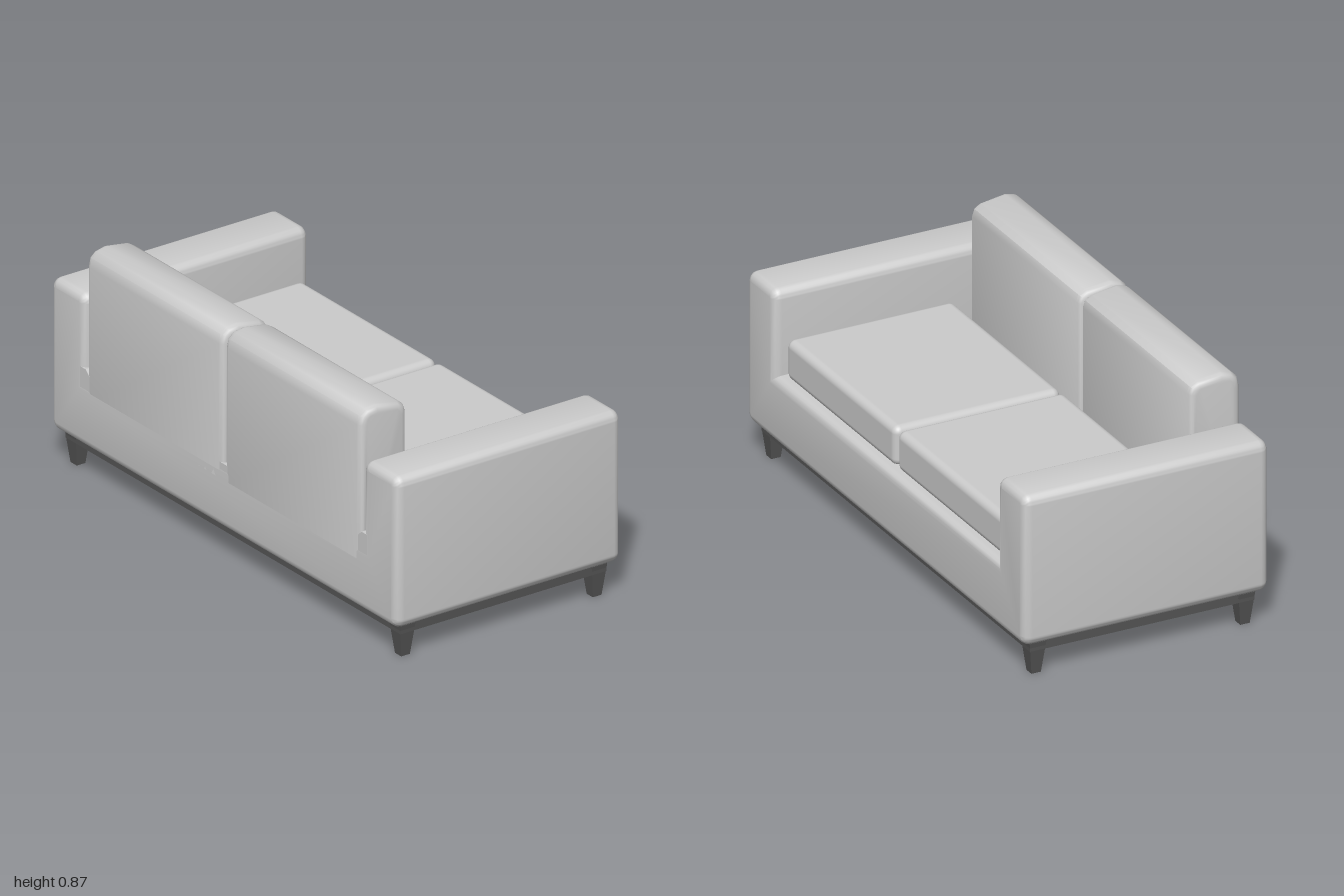
import * as THREE from 'three';
import { toCreasedNormals } from 'three/addons/utils/BufferGeometryUtils.js';
import { RoundedBoxGeometry } from 'three/addons/geometries/RoundedBoxGeometry.js';

const fabric = new THREE.MeshStandardMaterial({ color: 0xcccccc });
fabric.name = 'fabric';
const darkWood = new THREE.MeshStandardMaterial({ color: 0x555555 });
darkWood.name = 'darkWood';

function addMesh(parent, name, geometry, material, x = 0, y = 0, z = 0) {
  const mesh = new THREE.Mesh(geometry, material);
  mesh.name = name;
  mesh.position.set(x, y, z);
  parent.add(mesh);
  return mesh;
}

function polygon(points) {
  return new THREE.Shape(points.map(([x, y]) => new THREE.Vector2(x, y)));
}

// Extrusion centred on z with softly rounded ends; length includes the bevels
function softExtrude(shape, length, bevel, offset) {
  const geometry = new THREE.ExtrudeGeometry(shape, {
    depth: length - 2 * bevel, bevelThickness: bevel, bevelSize: bevel,
    bevelOffset: offset, bevelSegments: 4, curveSegments: 4,
  });
  geometry.translate(0, 0, -(length - 2 * bevel) / 2);
  return toCreasedNormals(geometry, 0.7);
}

// U-shaped outline of arms and seat deck, drawn inside its bevel
function bodyShape(b) {
  const w = 1 - b, inner = 0.8 + b, bottom = 0.125 + b, top = 0.692 - b, deck = 0.37 - b;
  const r = 0.006, s = new THREE.Shape();
  s.moveTo(-w + r, bottom);
  s.lineTo(w - r, bottom);
  s.absarc(w - r, bottom + r, r, -Math.PI / 2, 0);
  s.absarc(w - r, top - r, r, 0, Math.PI / 2);
  s.absarc(inner + r, top - r, r, Math.PI / 2, Math.PI);
  s.lineTo(inner, deck);
  s.lineTo(-inner, deck);
  s.absarc(-inner - r, top - r, r, 0, Math.PI / 2);
  s.absarc(-w + r, top - r, r, Math.PI / 2, Math.PI);
  s.absarc(-w + r, bottom + r, r, Math.PI, Math.PI * 1.5);
  return s;
}

export function createModel() {
  const sofa = new THREE.Group();
  sofa.name = 'sofa';

  // Arms and seat deck in one piece
  const body = softExtrude(bodyShape(0.032), 0.94, 0.032, 0);
  body.rotateY(Math.PI / 2);
  addMesh(sofa, 'body', body, fabric);

  // Rear panel closing the gap below the back cushions
  const panelShape = polygon([
    [-0.86, 0.17], [0.86, 0.17], [0.835, 0.42], [0.795, 0.42], [0.74, 0.37],
    [-0.74, 0.37], [-0.795, 0.42], [-0.835, 0.42],
  ]);
  const panel = new THREE.ExtrudeGeometry(panelShape, { depth: 0.16, bevelEnabled: false });
  panel.rotateY(Math.PI / 2);
  addMesh(sofa, 'rearPanel', panel, fabric, -0.469);

  // Back cushion with a gently crowned top
  const backShape = polygon([
    [-0.47, 0.31], [-0.275, 0.31], [-0.275, 0.815], [-0.284, 0.842], [-0.308, 0.857],
    [-0.4, 0.871], [-0.44, 0.862], [-0.462, 0.843], [-0.47, 0.81],
  ]);
  const backCushion = softExtrude(backShape, 0.79, 0.025, -0.025);
  const seatCushion = new RoundedBoxGeometry(0.64, 0.15, 0.786, 4, 0.028);

  // Square tapered leg
  const leg = new THREE.CylinderGeometry(0.032 * Math.SQRT2, 0.018 * Math.SQRT2, 0.12, 4).toNonIndexed();
  leg.rotateY(Math.PI / 4);
  leg.computeVertexNormals();

  for (const [side, sign] of [['left', -1], ['right', 1]]) {
    addMesh(sofa, side + 'BackCushion', backCushion, fabric, 0, 0, sign * 0.398);
    addMesh(sofa, side + 'SeatCushion', seatCushion, fabric, 0.11, 0.436, sign * 0.398);
    addMesh(sofa, side + 'FrontLeg', leg, darkWood, 0.4, 0.06, sign * 0.935);
    addMesh(sofa, side + 'RearLeg', leg, darkWood, -0.4, 0.06, sign * 0.935);
  }

  // Plinth frame between body and legs
  addMesh(sofa, 'plinth', new THREE.BoxGeometry(0.86, 0.05, 1.93), darkWood, 0, 0.115, 0);

  return sofa;
}
